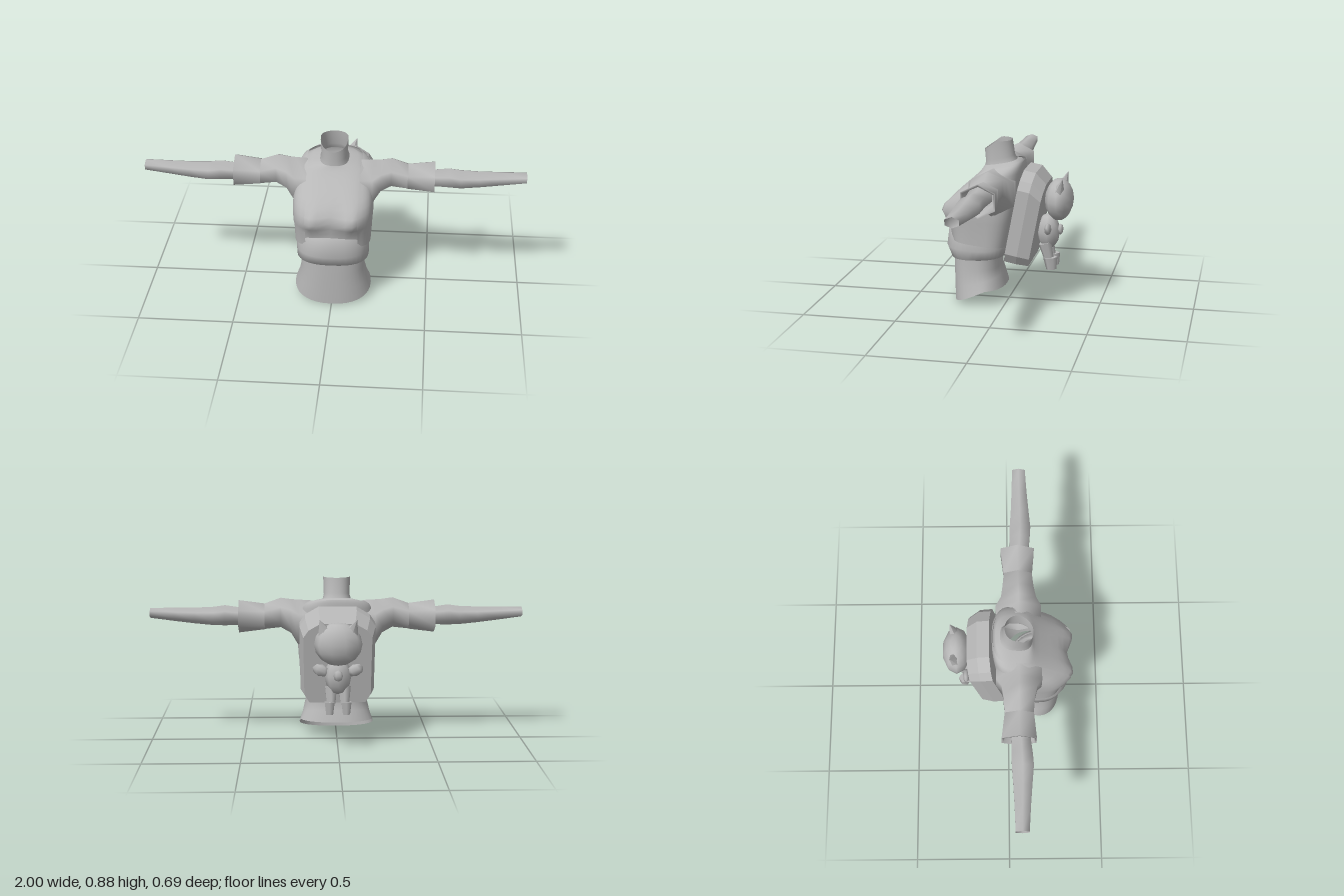
import * as THREE from 'three';

const grey = new THREE.MeshStandardMaterial({ color: 0xb8b8b8, side: THREE.DoubleSide });
grey.name = 'plain grey';

function add(parent, name, geometry, x = 0, y = 0, z = 0) {
  const mesh = new THREE.Mesh(geometry, grey);
  mesh.name = name;
  mesh.position.set(x, y, z);
  parent.add(mesh);
  return mesh;
}

// Skin a stack of rows of points; quads whose centre passes skip are left open
function skin(rows, closed, skip = () => false) {
  const n = rows[0].length, index = [], mid = new THREE.Vector3();
  for (let r = 0; r < rows.length - 1; r++) {
    for (let i = 0; i < (closed ? n : n - 1); i++) {
      const j = (i + 1) % n;
      mid.copy(rows[r][i]).add(rows[r][j]).add(rows[r + 1][i]).add(rows[r + 1][j]).divideScalar(4);
      if (skip(mid)) continue;
      const a = r * n + i, b = r * n + j, c = a + n, d = b + n;
      index.push(a, b, d, a, d, c);
    }
  }
  const g = new THREE.BufferGeometry().setFromPoints(rows.flat());
  g.setIndex(index);
  g.computeVertexNormals();
  return g;
}

// Point on a tilted ring: [half width, front y, front z, back y, back z, roundness, highest y]
function ringPoint([w, yf, zf, yb, zb, p = 0.75, yMax = 1], a, bust) {
  const soft = (v) => Math.sign(v) * Math.abs(v) ** p;
  const x = w * soft(Math.sin(a)), t = soft(Math.cos(a));
  const y = Math.min(yMax, yb + (yf - yb) * (1 + t) / 2);
  let z = (zf + zb) / 2 + (zf - zb) / 2 * t;
  if (bust && t > 0) {
    z += 0.045 * t * Math.exp(-(((Math.abs(x) - 0.105) / 0.06) ** 2) - (((y - 0.515) / 0.06) ** 2));
  }
  return new THREE.Vector3(x, y, z);
}
function bodyLoft(rings, bust, skip) {
  const n = 36;
  return skin(rings.map((r) => Array.from({ length: n }, (_, i) =>
    ringPoint(r, i / n * Math.PI * 2, bust))), true, skip);
}
const armHole = (p) => Math.abs(p.x) > 0.12 && Math.hypot(p.y - 0.665, p.z - 0.06) < 0.05;

// Six-sided tube along x: rows of [x, centre y, centre z, radius y, radius z]
function armTube(rows, side) {
  return skin(rows.map(([x, y, z, ry, rz]) => Array.from({ length: 6 }, (_, i) => {
    const a = i / 6 * Math.PI * 2 * side;
    return new THREE.Vector3(x * side, y + ry * Math.cos(a), z + rz * Math.sin(a));
  })), true);
}

function blob(parent, name, x, y, z, sx, sy, sz, seg = 8) {
  const m = add(parent, name, new THREE.SphereGeometry(1, seg, Math.max(4, seg - 2)), x, y, z);
  m.scale.set(sx, sy, sz);
  return m;
}

export function createModel() {
  const model = new THREE.Group();
  model.name = 'dressedTorso';

  // Bare waist, open at the hips
  add(model, 'waist', bodyLoft([
    [0.203, 0, 0.287, 0.125, 0.01, 0.88, 0.085], [0.184, 0.09, 0.29, 0.15, 0.028, 0.85],
    [0.168, 0.19, 0.293, 0.19, 0.04, 0.85], [0.168, 0.31, 0.295, 0.3, 0.04, 0.85],
  ]));

  // Flared hem band, higher at the front
  add(model, 'hemBand', bodyLoft([
    [0.168, 0.27, 0.293, 0.27, 0.04], [0.19, 0.25, 0.305, 0.26, 0.006, 0.8],
    [0.191, 0.31, 0.333, 0.3, -0.002, 0.85], [0.19, 0.412, 0.323, 0.335, -0.008, 0.95],
    [0.175, 0.412, 0.29, 0.335, 0.005, 0.95],
  ]));

  // Shirt with bust and shoulders
  const shirt = [
    [0.192, 0.4, 0.296, 0.325, -0.012, 0.62], [0.196, 0.435, 0.298, 0.4, -0.03, 0.6],
    [0.201, 0.47, 0.306, 0.45, -0.042, 0.57], [0.203, 0.505, 0.308, 0.505, -0.052, 0.56],
    [0.204, 0.54, 0.3, 0.55, -0.06, 0.57], [0.203, 0.575, 0.283, 0.59, -0.066, 0.6],
    [0.199, 0.605, 0.26, 0.625, -0.07, 0.64], [0.194, 0.645, 0.217, 0.67, -0.075, 0.7],
    [0.186, 0.69, 0.168, 0.72, -0.078], [0.165, 0.718, 0.142, 0.75, -0.078],
    [0.12, 0.735, 0.13, 0.77, -0.066], [0.076, 0.745, 0.126, 0.776, -0.042],
  ];
  add(model, 'shirt', bodyLoft(shirt, true, armHole));

  // Neck, open at the top and cut lower in front
  add(model, 'neck', bodyLoft([
    [0.078, 0.735, 0.126, 0.77, -0.045, 0.85], [0.069, 0.77, 0.125, 0.8, -0.03, 0.9],
    [0.072, 0.826, 0.13, 0.93, -0.018, 0.95, 0.88],
  ]));

  // Open jacket shell around the back and sides
  const shell = [[0.193, 0.352, 0.286, 0.318, -0.012, 0.6], ...shirt.slice(1, 10), [0.14, 0.73, 0.13, 0.765, -0.073]]
    .map(([w, yf, zf, yb, zb, p]) => [w + 0.006, yf + 0.003, zf + 0.006, yb + 0.004, zb - 0.007, p]);
  const jacketRows = shell.map((r) => {
    const start = Math.asin(Math.min(1, 0.136 / r[0]) ** (1 / (r[5] ?? 0.75)));
    return Array.from({ length: 33 }, (_, i) =>
      ringPoint(r, start + (Math.PI - start) * 2 * i / 32, true));
  });
  add(model, 'jacket', skin(jacketRows, false, armHole));

  for (const side of [1, -1]) {
    const label = side > 0 ? 'left' : 'right';
    // Short sleeve with a flared cuff
    add(model, label + 'Sleeve', armTube([
      [0.14, 0.623, 0.055, 0.128, 0.135], [0.203, 0.628, 0.055, 0.126, 0.138],
      [0.245, 0.665, 0.056, 0.092, 0.106], [0.3, 0.685, 0.054, 0.08, 0.094],
      [0.39, 0.664, 0.054, 0.069, 0.085],
    ], side));
    add(model, label + 'Cuff', armTube([
      [0.385, 0.664, 0.054, 0.07, 0.086], [0.525, 0.665, 0.052, 0.088, 0.103],
    ], side));
    add(model, label + 'CuffRim', armTube([
      [0.525, 0.665, 0.052, 0.088, 0.103], [0.525, 0.665, 0.052, 0.078, 0.092],
      [0.43, 0.665, 0.054, 0.062, 0.075],
    ], side));
    // Forearm, open at the wrist
    add(model, label + 'Forearm', armTube([
      [0.42, 0.67, 0.06, 0.055, 0.066], [0.53, 0.665, 0.063, 0.049, 0.056],
      [0.6, 0.669, 0.066, 0.055, 0.062], [0.66, 0.665, 0.069, 0.05, 0.064],
      [0.76, 0.668, 0.068, 0.043, 0.055], [0.87, 0.675, 0.066, 0.036, 0.047],
      [1, 0.684, 0.064, 0.027, 0.04],
    ], side));
  }

  // Leaning backpack, its top sloping down towards the rear
  const half = [[0.165, 0], [0.195, 0.05], [0.2, 0.405], [0.17, 0.45], [0.1, 0.492]];
  const outline = [...half, ...half.map(([x, y]) => [-x, y]).reverse()]
    .map(([x, y]) => new THREE.Vector2(x, y));
  const pack = new THREE.ExtrudeGeometry(new THREE.Shape(outline), {
    depth: 0.13, steps: 2, bevelEnabled: false,
  });
  const pos = pack.attributes.position;
  for (let i = 0; i < pos.count; i++) {
    if (pos.getZ(i) < 0.01) pos.setXY(i, pos.getX(i) * 0.9, pos.getY(i) * 0.9);
  }
  pack.computeVertexNormals();
  add(model, 'backpack', pack, 0, 0.23, -0.133).rotation.x = -0.19;

  // Plush animal hanging on the backpack
  const toy = new THREE.Group();
  toy.name = 'plushToy';
  model.add(toy);
  blob(toy, 'toyHead', 0, 0.567, -0.272, 0.125, 0.113, 0.076, 10);
  blob(toy, 'toyBody', 0, 0.39, -0.215, 0.07, 0.098, 0.062);
  blob(toy, 'toyTail', 0, 0.402, -0.28, 0.025, 0.03, 0.016, 6);
  for (const side of [1, -1]) {
    const ear = add(toy, 'toyEar', new THREE.ConeGeometry(0.055, 0.11, 6), side * 0.078, 0.65, -0.288);
    ear.rotation.set(-0.3, 0, -side * 0.35);
    ear.scale.z = 0.75;
    const arm = blob(toy, 'toyArm', side * 0.09, 0.422, -0.226, 0.045, 0.032, 0.019, 6);
    arm.rotation.z = side * 0.4;
    const leg = add(toy, 'toyLeg', new THREE.CylinderGeometry(0.036, 0.026, 0.09, 6), side * 0.036, 0.288, -0.213);
    leg.rotation.x = 0.25;
    const foot = add(toy, 'toyFoot', new THREE.CylinderGeometry(0.03, 0.021, 0.066, 6), side * 0.044, 0.222, -0.236);
    foot.scale.z = 1.3;
    foot.rotation.x = 0.1;
  }
  return model;
}
